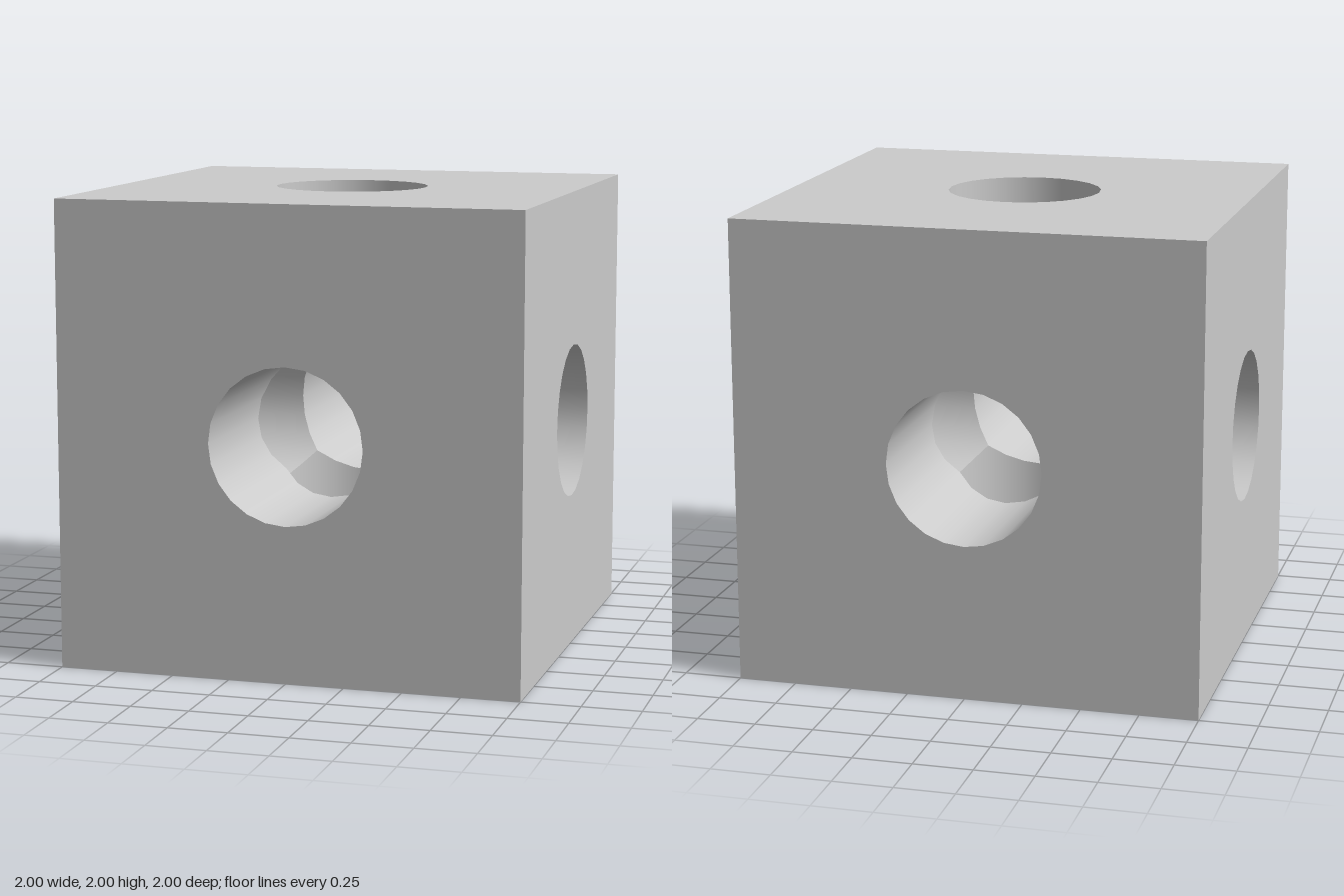
import * as THREE from 'three';

const HALF = 1;
const RADIUS = 0.333;
const SIDES = 24;

// Square face at z = HALF with a round opening
function plateGeometry() {
  const shape = new THREE.Shape([
    new THREE.Vector2(-HALF, -HALF), new THREE.Vector2(HALF, -HALF),
    new THREE.Vector2(HALF, HALF), new THREE.Vector2(-HALF, HALF),
  ]);
  shape.holes.push(new THREE.Path().absarc(0, 0, RADIUS, 0, Math.PI * 2, true));
  return new THREE.ShapeGeometry(shape, SIDES / 2).translate(0, 0, HALF);
}

// Inward-facing bore wall, its inner end trimmed where the three bores cross
function boreGeometry() {
  const profile = [new THREE.Vector2(RADIUS, HALF), new THREE.Vector2(RADIUS, 0)];
  const geometry = new THREE.LatheGeometry(profile, SIDES);
  const p = geometry.attributes.position;
  for (let i = 0; i < p.count; i++) {
    if (p.getY(i) < HALF / 2) p.setY(i, Math.max(Math.abs(p.getX(i)), Math.abs(p.getZ(i))));
  }
  return geometry.rotateX(Math.PI / 2);
}

export function createModel() {
  const model = new THREE.Group();
  model.name = 'boredCube';
  const material = new THREE.MeshStandardMaterial({ color: 0xcccccc });
  const plate = plateGeometry();
  const bore = boreGeometry();

  // One face and half bore per direction
  const q = Math.PI / 2;
  const sides = {
    front: [0, 0], left: [0, q], back: [0, 2 * q], right: [0, -q],
    top: [-q, 0], bottom: [q, 0],
  };
  for (const [name, [rx, ry]] of Object.entries(sides)) {
    const side = new THREE.Group();
    side.name = name + 'Side';
    const face = new THREE.Mesh(plate, material);
    face.name = name + 'Face';
    const wall = new THREE.Mesh(bore, material);
    wall.name = name + 'Bore';
    side.add(face, wall);
    side.rotation.set(rx, ry, 0);
    side.position.y = HALF;
    model.add(side);
  }
  return model;
}
